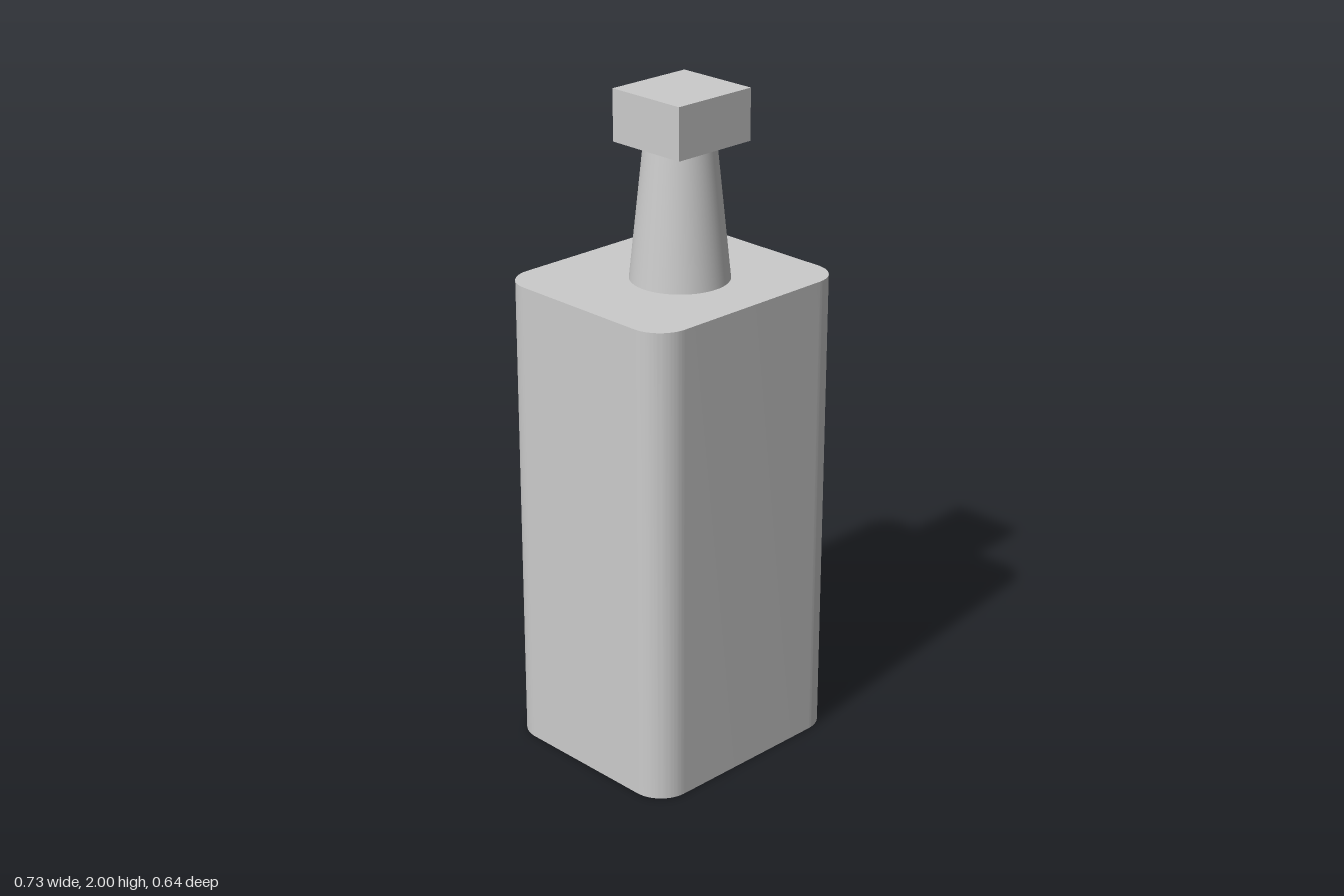
import * as THREE from 'three';
import { toCreasedNormals } from 'three/addons/utils/BufferGeometryUtils.js';

// Rounded rectangle centred on the origin
function roundedRect(halfW, halfD, r) {
  const s = new THREE.Shape();
  s.absarc(halfW - r, halfD - r, r, 0, Math.PI / 2);
  s.absarc(-halfW + r, halfD - r, r, Math.PI / 2, Math.PI);
  s.absarc(-halfW + r, -halfD + r, r, Math.PI, Math.PI * 1.5);
  s.absarc(halfW - r, -halfD + r, r, Math.PI * 1.5, Math.PI * 2);
  s.closePath();
  return s;
}

export function createModel() {
  const model = new THREE.Group();
  model.name = 'bottle';
  const material = new THREE.MeshStandardMaterial({ color: 0xcccccc });

  const add = (name, geometry, x, y, z) => {
    const mesh = new THREE.Mesh(geometry, material);
    mesh.name = name;
    mesh.position.set(x, y, z);
    model.add(mesh);
  };

  // Body: upright prism with rounded vertical edges
  const bodyGeometry = new THREE.ExtrudeGeometry(roundedRect(0.363, 0.322, 0.097), {
    depth: 1.45, bevelEnabled: false, curveSegments: 16,
  });
  bodyGeometry.rotateX(-Math.PI / 2);
  add('body', toCreasedNormals(bodyGeometry, Math.PI / 6), 0, 0, 0);

  // Tapered neck, slightly off centre
  add('neck', new THREE.CylinderGeometry(0.103, 0.145, 0.4, 64), 0.012, 1.65, 0.018);

  // Square-edged stopper
  add('stopper', new THREE.BoxGeometry(0.277, 0.152, 0.261), 0.018, 1.924, 0.018);

  return model;
}
